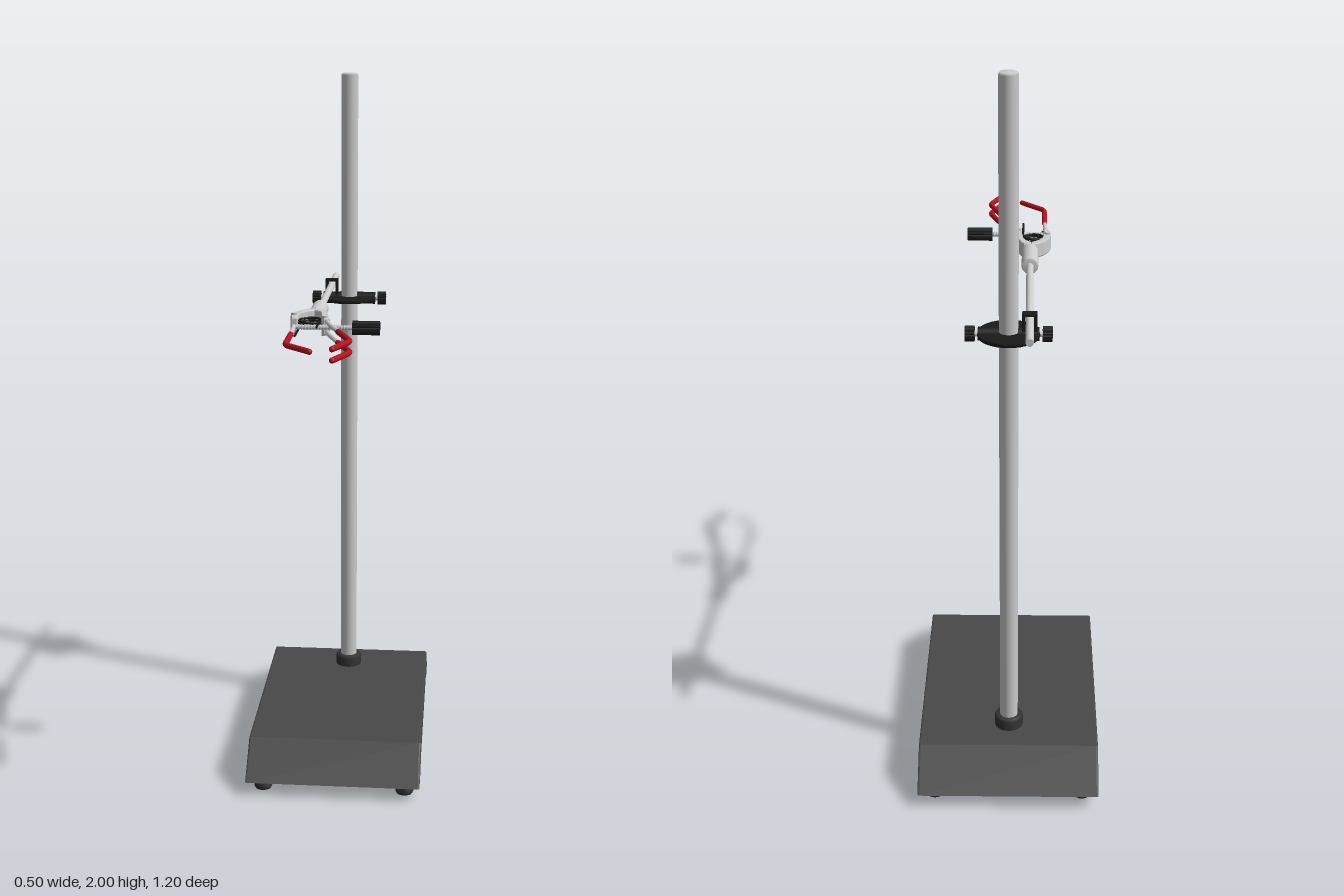
import * as THREE from 'three';

const mat = (color) => new THREE.MeshStandardMaterial({ color });
const metal = mat(0xcccccc), dark = mat(0x484848), rubber = mat(0x333333), black = mat(0x1a1a1a), red = mat(0xb5121f);
const V = (x, y, z) => new THREE.Vector3(x, y, z);
const ROD_Z = -0.395, ARM_X = -0.053, ARM_Y = 1.375, BOSS_Y = 1.335;

export function createModel() {
  const model = new THREE.Group();
  model.name = 'clampStand';

  const add = (name, geometry, material, parent = model) => {
    const mesh = new THREE.Mesh(geometry, material);
    mesh.name = name;
    parent.add(mesh);
    return mesh;
  };
  // Cylinder between two points
  const bar = (name, a, b, r, material, parent, sides = 24) => {
    const dir = b.clone().sub(a);
    const mesh = add(name, new THREE.CylinderGeometry(r, r, dir.length(), sides), material, parent);
    mesh.position.copy(a).add(b).multiplyScalar(0.5);
    mesh.quaternion.setFromUnitVectors(V(0, 1, 0), dir.normalize());
    return mesh;
  };
  // Solid of revolution around y
  const turned = (name, profile, x, y, z, material, parent) => {
    const pts = profile.map(([r, h]) => new THREE.Vector2(r, h));
    const mesh = add(name, new THREE.LatheGeometry(pts, 32), material, parent);
    mesh.position.set(x, y, z);
    return mesh;
  };
  // Ribbed knob along x
  const knob = (name, x0, x1, y, z, r, parent) => {
    const n = 16, shape = new THREE.Shape();
    for (let i = 0; i < n * 2; i++) {
      const a = i * Math.PI / n, k = i % 2 ? r * 0.9 : r;
      shape[i ? 'lineTo' : 'moveTo'](k * Math.cos(a), k * Math.sin(a));
    }
    const g = new THREE.ExtrudeGeometry(shape, { depth: x1 - x0, bevelEnabled: false });
    g.rotateY(Math.PI / 2);
    add(name, g, black, parent).position.set(x0, y, z);
  };
  // Plate with an outline in x and z, centred on the arm height
  const plate = (name, outline, height, parent) => {
    const shape = new THREE.Shape(outline.map(([x, z]) => new THREE.Vector2(x, -z)));
    const g = new THREE.ExtrudeGeometry(shape, {
      depth: height - 0.006, bevelThickness: 0.003, bevelSize: 0.002, bevelOffset: -0.002, bevelSegments: 1,
    });
    g.translate(0, 0, -height / 2 + 0.003).rotateX(-Math.PI / 2);
    add(name, g, metal, parent).position.y = ARM_Y;
  };

  // Base: bridge-shaped side profile with sloping ends
  const side = new THREE.Shape([
    [0.257, 0.043], [0.158, 0.133], [-0.498, 0.133], [-0.598, 0.043],
    [-0.50, 0.043], [-0.44, 0.073], [0.10, 0.073], [0.165, 0.043],
  ].map(([z, y]) => new THREE.Vector2(-z, y)));
  const baseGeo = new THREE.ExtrudeGeometry(side, {
    depth: 0.49, bevelThickness: 0.005, bevelSize: 0.003, bevelSegments: 2,
  });
  baseGeo.translate(0, 0, -0.245).rotateY(Math.PI / 2);
  add('base', baseGeo, dark);

  // Feet
  for (const x of [-0.205, 0.205]) for (const z of [0.2, -0.535])
    turned('foot', [[0, 0], [0.023, 0], [0.026, 0.006], [0.028, 0.042], [0, 0.042]], x, 0, z, rubber);

  // Upright rod and its collar
  turned('rodCollar', [[0.04, 0.13], [0.04, 0.163], [0.036, 0.17], [0.024, 0.17]], 0, 0, ROD_Z, rubber);
  turned('uprightRod', [[0, 0.1], [0.025, 0.1], [0.025, 1.994], [0.021, 2], [0, 2]], 0, 0, ROD_Z, metal);

  // Boss head: flat ring, screw housings, hook for the arm and two knobs
  const boss = new THREE.Group();
  boss.name = 'bossHead';
  model.add(boss);
  turned('bossRing', [[0.024, -0.006], [0.079, -0.006], [0.081, 0], [0.079, 0.006], [0.024, 0.006], [0.024, -0.006]],
    0, BOSS_Y, ROD_Z, black, boss);
  for (const s of [-1, 1]) {
    bar('screwHousing', V(s * 0.024, BOSS_Y, ROD_Z), V(s * 0.078, BOSS_Y, ROD_Z), 0.018, black, boss);
    bar('bossScrew', V(s * 0.07, BOSS_Y, ROD_Z), V(s * 0.09, BOSS_Y, ROD_Z), 0.008, metal, boss);
    knob('bossKnob', s > 0 ? 0.086 : -0.111, s > 0 ? 0.111 : -0.086, BOSS_Y, ROD_Z, 0.02, boss);
  }
  for (const x of [-0.068, -0.038])
    add('armHook', new THREE.BoxGeometry(0.008, 0.05, 0.028), black, boss).position.set(x, 1.365, ROD_Z);
  add('armHookTop', new THREE.BoxGeometry(0.038, 0.006, 0.028), black, boss).position.set(ARM_X, 1.389, ROD_Z);

  // Clamp arm: thin rod and thicker sleeve
  const clamp = new THREE.Group();
  clamp.name = 'clamp';
  model.add(clamp);
  bar('clampRod', V(ARM_X, ARM_Y, -0.55), V(ARM_X, ARM_Y, 0.01), 0.01, metal, clamp);
  const sleeve = turned('clampSleeve',
    [[0, -0.01], [0.02, -0.01], [0.023, -0.006], [0.023, 0.116], [0.02, 0.12], [0, 0.12]], ARM_X, ARM_Y, 0, metal, clamp);
  sleeve.rotation.x = Math.PI / 2;

  // Jaw brackets
  plate('rightJawBracket', [
    [-0.053, 0.113], [-0.072, 0.118], [-0.094, 0.142], [-0.108, 0.168], [-0.113, 0.205], [-0.105, 0.252],
    [-0.092, 0.252], [-0.092, 0.205], [-0.088, 0.172], [-0.074, 0.148], [-0.058, 0.135],
  ], 0.044, clamp);
  plate('leftJawBracket', [
    [-0.053, 0.113], [-0.056, 0.135], [-0.042, 0.15], [-0.034, 0.175], [-0.03, 0.215], [-0.02, 0.254],
    [-0.004, 0.25], [-0.011, 0.205], [-0.017, 0.168], [-0.026, 0.135], [-0.036, 0.116],
  ], 0.044, clamp);

  // Pivot pins
  for (const [x, z] of [[-0.103, 0.205], [-0.019, 0.237]])
    bar('pivotPin', V(x, ARM_Y - 0.027, z), V(x, ARM_Y + 0.027, z), 0.009, metal, clamp, 16);

  // Prongs: bare metal shank, then a red sleeved finger with rounded tip
  const prong = (name, y, shank, finger) => {
    const path = (pts) => {
      const p = new THREE.CurvePath(), v = pts.map(([x, z]) => V(x, y, z));
      let from = v[0];
      for (let i = 1; i < v.length - 1; i++) {
        const a = v[i].clone().lerp(v[i - 1], 0.15), b = v[i].clone().lerp(v[i + 1], 0.15);
        p.add(new THREE.LineCurve3(from, a));
        p.add(new THREE.QuadraticBezierCurve3(a, v[i], b));
        from = b;
      }
      p.add(new THREE.LineCurve3(from, v[v.length - 1]));
      return p;
    };
    add(name + 'Shank', new THREE.TubeGeometry(path(shank), 24, 0.006, 10), metal, clamp);
    add(name + 'Finger', new THREE.TubeGeometry(path(finger), 40, 0.0075, 12), red, clamp);
    for (const [x, z] of [finger[0], finger[finger.length - 1]])
      add(name + 'FingerTip', new THREE.SphereGeometry(0.0075, 12, 8), red, clamp).position.set(x, y, z);
  };
  prong('rightProng', ARM_Y, [[-0.104, 0.22], [-0.098, 0.27], [-0.096, 0.37]],
    [[-0.096, 0.36], [-0.096, 0.488], [-0.028, 0.562]]);
  for (const s of [-1, 1])
    prong('leftProng', ARM_Y + s * 0.014, [[-0.018, 0.22], [-0.003, 0.29], [0.032, 0.395]],
      [[0.028, 0.385], [0.068, 0.498], [0.03, 0.593]]);

  // Adjusting screw with thread ridges and knob
  bar('adjustingScrew', V(-0.093, ARM_Y, 0.262), V(0.06, ARM_Y, 0.262), 0.006, metal, clamp, 16);
  for (let x = -0.085; x < 0.056; x += 0.008) {
    const ridge = add('screwThread', new THREE.TorusGeometry(0.006, 0.0018, 6, 16), metal, clamp);
    ridge.position.set(x, ARM_Y, 0.262);
    ridge.rotation.y = Math.PI / 2;
  }
  knob('adjustingKnob', 0.056, 0.128, ARM_Y, 0.262, 0.019, clamp);

  // Torsion spring between the jaws
  const coil = [];
  for (let i = 0; i <= 64; i++) {
    const a = Math.PI - i / 64 * Math.PI * 7;
    coil.push(V(-0.061 + 0.028 * Math.cos(a), ARM_Y - 0.012 + 0.024 * i / 64, 0.215 - 0.028 * Math.sin(a)));
  }
  add('spring', new THREE.TubeGeometry(new THREE.CatmullRomCurve3(coil), 160, 0.003, 8), black, clamp);
  bar('springLeg', coil[0], V(-0.09, ARM_Y - 0.012, 0.323), 0.003, black, clamp, 8);
  bar('springLeg', coil[64], V(-0.033, ARM_Y + 0.012, 0.323), 0.003, black, clamp, 8);

  return model;
}
